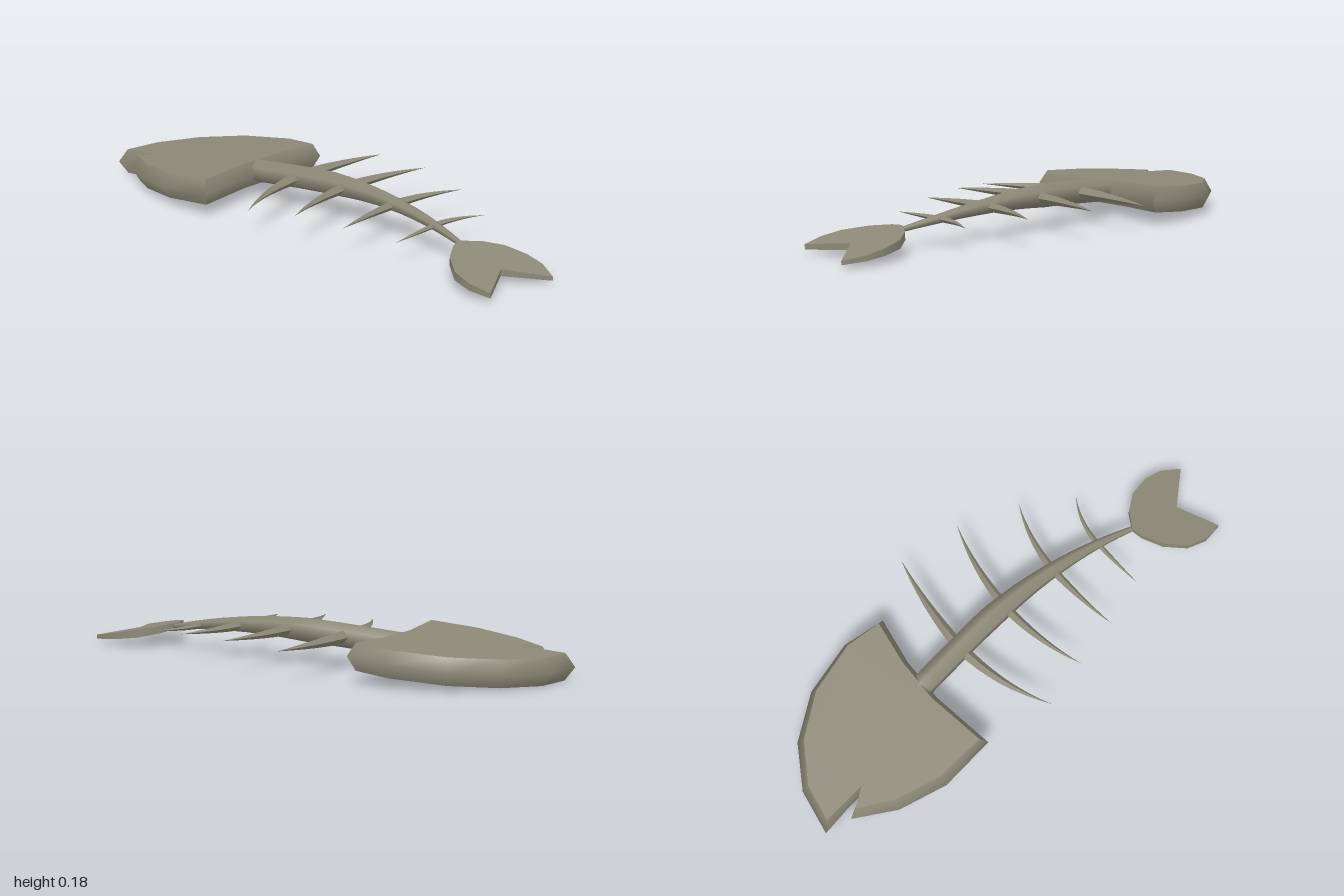
import * as THREE from 'three';
import { toCreasedNormals, mergeGeometries } from 'three/addons/utils/BufferGeometryUtils.js';

const bone = new THREE.MeshStandardMaterial({ color: 0x8c8977 });
bone.name = 'bone';
const CREASE = 1.15;

function toGeometry(positions, indices) {
  const g = new THREE.BufferGeometry();
  g.setAttribute('position', new THREE.Float32BufferAttribute(positions.flat(), 3));
  g.setIndex(indices);
  return toCreasedNormals(g, CREASE);
}

// Skin between equal rings, counter-clockwise seen from the last ring
function loft(rings) {
  const n = rings[0].length, idx = [];
  for (let r = 0; r < rings.length - 1; r++) {
    for (let i = 0; i < n; i++) {
      const j = (i + 1) % n;
      const a = r * n + i, b = r * n + j, c = b + n, d = a + n;
      idx.push(a, b, c, a, c, d);
    }
  }
  return toGeometry(rings.flat(), idx);
}

// Flat lid over an outline, facing up or down
function cap(ring, up) {
  const flat = ring.map(([x, , z]) => new THREE.Vector2(x, -z));
  const idx = [];
  for (const [a, b, c] of THREE.ShapeUtils.triangulateShape(flat, [])) {
    const ccw = flat[b].clone().sub(flat[a]).cross(flat[c].clone().sub(flat[a])) > 0;
    if (ccw === up) idx.push(a, b, c);
    else idx.push(a, c, b);
  }
  return toGeometry(ring, idx);
}

function slab(rings) {
  return mergeGeometries([loft(rings), cap(rings[0], false), cap(rings[rings.length - 1], true)]);
}

// Tapering tube with a corner at the top; size(t) gives half width and half height
function sweep(curve, steps, sides, size) {
  const rings = [];
  for (let s = 0; s <= steps; s++) {
    const t = s / steps, p = curve.getPoint(t), [w, h] = size(t, p);
    const side = new THREE.Vector3(0, 1, 0).cross(curve.getTangent(t)).normalize();
    const ring = [];
    for (let i = 0; i < sides; i++) {
      const a = Math.PI / 2 + (i / sides) * Math.PI * 2;
      const c = Math.cos(a) * w;
      ring.push([p.x + side.x * c, p.y + Math.sin(a) * h, p.z + side.z * c]);
    }
    rings.push(ring);
  }
  return loft(rings);
}

export function createModel() {
  const model = new THREE.Group();
  const add = (name, geometry) => {
    const m = new THREE.Mesh(geometry, bone);
    m.name = name;
    model.add(m);
  };

  // Head: widest at mid height, bevelled to the top and bottom. Rows: outer x, z, inner x, z
  const head = [
    [-1, 0.228, -0.97, 0.205], [-0.97, 0.05, -0.945, 0.06], [-0.87, -0.11, -0.85, -0.088],
    [-0.71, -0.23, -0.7, -0.205], [-0.5, -0.29, -0.5, -0.266], [-0.33, -0.27, -0.358, -0.255],
    [-0.362, -0.08, -0.385, -0.08], [-0.366, 0.1, -0.39, 0.1], [-0.33, 0.357, -0.356, 0.337],
    [-0.55, 0.38, -0.55, 0.35], [-0.74, 0.337, -0.73, 0.31], [-0.897, 0.247, -0.865, 0.24],
    [-0.81, 0.197, -0.795, 0.188],
  ].reverse();
  const headY = (x) => 0.05 + (x + 1) * 0.082;
  const inner = (dy) => head.map(([, , x, z]) => [x, headY(x) + dy, z]);
  const outer = head.map(([x, z]) => [x, headY(x), z]);
  add('head', slab([inner(-0.051), outer, inner(0.051)]));

  // Spine: arched six-sided tube that thins toward the tail
  const spine = new THREE.CatmullRomCurve3([
    [-0.4, 0.105, 0.032], [-0.2, 0.121, 0.01], [0, 0.133, -0.008], [0.2, 0.134, -0.01],
    [0.4, 0.119, 0.004], [0.55, 0.099, 0.026], [0.675, 0.078, 0.052],
  ].map((p) => new THREE.Vector3(...p)));
  add('spine', sweep(spine, 18, 6, (t, p) => {
    const r = p.x < 0 ? 0.047 : 0.047 - 0.056 * p.x;
    return [r, r];
  }));

  // Ribs: curved spikes. Rows: base x, y, half width, half height, back tip x, z, front tip x, z
  const ribs = [
    [-0.177, 0.124, 0.023, 0.026, -0.125, -0.41, -0.055, 0.403],
    [0.057, 0.134, 0.019, 0.023, 0.13, -0.382, 0.13, 0.353],
    [0.297, 0.125, 0.016, 0.019, 0.377, -0.303, 0.325, 0.303],
    [0.508, 0.103, 0.011, 0.012, 0.575, -0.19, 0.518, 0.24],
  ];
  for (const [x, y, w, h, bx, bz, fx, fz] of ribs) {
    for (const [name, tx, tz] of [['backRib', bx, bz], ['frontRib', fx, fz]]) {
      const path = new THREE.QuadraticBezierCurve3(
        new THREE.Vector3(x, y, 0),
        new THREE.Vector3(x + (tx - x) * 0.1, y, tz * 0.55),
        new THREE.Vector3(tx, y, tz));
      add(name, sweep(path, 8, 4, (t) => {
        const k = Math.max(1 - Math.pow(t, 1.3), 0.01);
        return [w * k, h * k];
      }));
    }
  }

  // Tail fin: forked plate sloping down and thinning to its tips
  const tail = [
    [0.655, 0.055], [0.7, -0.015], [0.765, -0.065], [0.85, -0.085], [0.925, -0.077],
    [1, -0.035], [0.865, 0.085], [0.945, 0.245], [0.865, 0.26], [0.785, 0.24],
    [0.71, 0.175], [0.665, 0.1],
  ].reverse();
  const topY = (x) => 0.094 - 0.195 * (x - 0.66);
  const thick = (x) => Math.min(0.022 + 0.2 * (x - 0.655), 0.034 - 0.075 * (x - 0.75));
  add('tailFin', slab([
    tail.map(([x, z]) => [x, topY(x) - thick(x), z]),
    tail.map(([x, z]) => [x, topY(x), z]),
  ]));

  return model;
}
